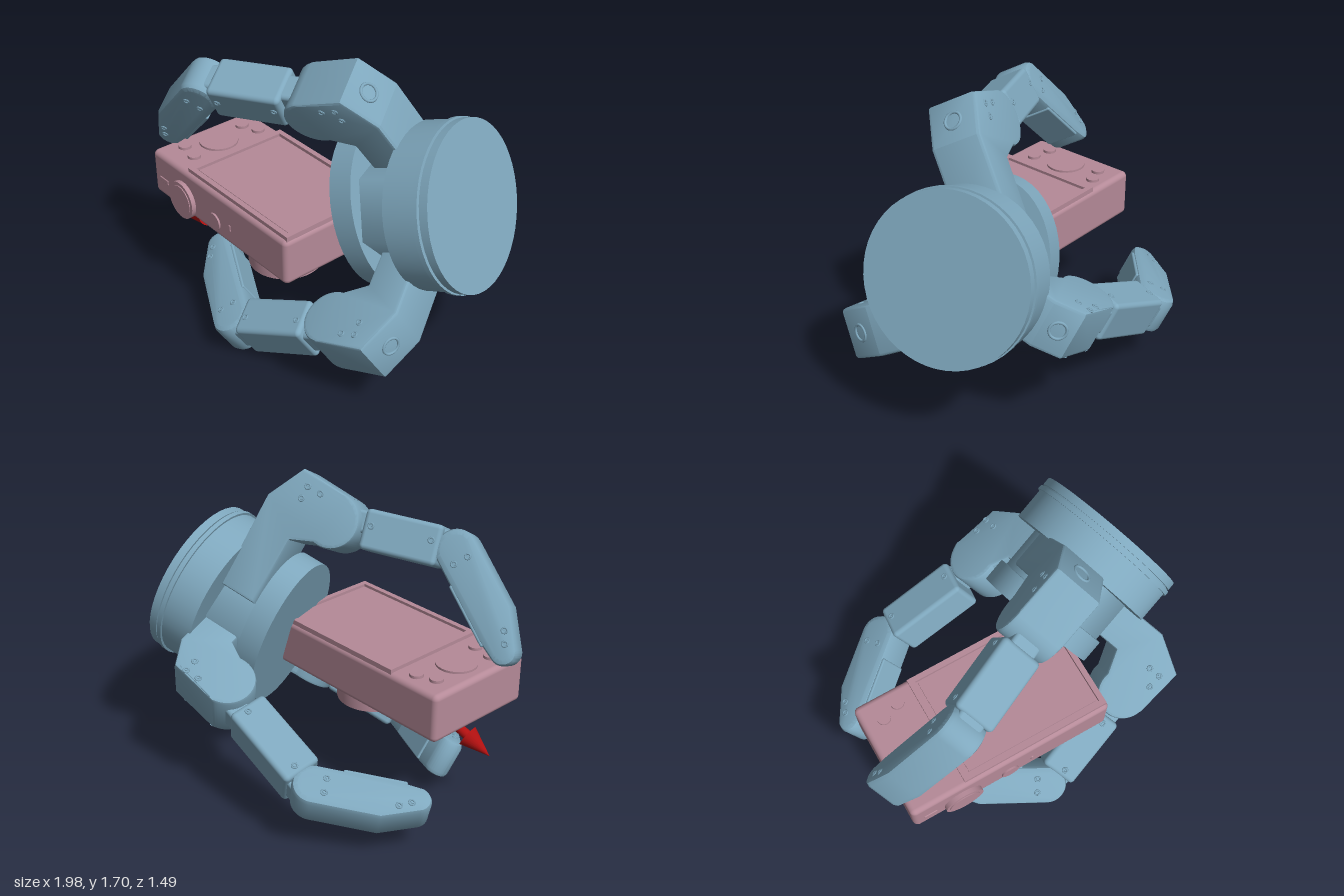
import * as THREE from 'three';
import { RoundedBoxGeometry } from 'three/addons/geometries/RoundedBoxGeometry.js';
import { toCreasedNormals } from 'three/addons/utils/BufferGeometryUtils.js';

const blue = new THREE.MeshStandardMaterial({ color: 0x7fa8be });
const pink = new THREE.MeshStandardMaterial({ color: 0xb58a98 });
const red = new THREE.MeshStandardMaterial({ color: 0xb01010 });

function add(parent, name, geo, mat, x = 0, y = 0, z = 0) {
  const m = new THREE.Mesh(geo, mat);
  m.name = name;
  m.position.set(x, y, z);
  parent.add(m);
  return m;
}

// Side profile extruded to a centred, bevelled slab of width w
function slab(shape, w, b = 0.018) {
  const g = new THREE.ExtrudeGeometry(shape, {
    depth: w - 2 * b, bevelEnabled: true, bevelThickness: b, bevelSize: b,
    bevelOffset: -b, bevelSegments: 2, curveSegments: 16,
  });
  g.translate(0, 0, -w / 2 + b);
  return toCreasedNormals(g, 0.6);
}

// Cylinder lying along x
const disc = (r, len, sides = 48) => new THREE.CylinderGeometry(r, r, len, sides).rotateZ(-Math.PI / 2);

function screws(parent, w, points) {
  for (const [x, y] of points) for (const s of [1, -1]) {
    const head = add(parent, 'screw', new THREE.TorusGeometry(0.014, 0.005, 6, 14), blue, x, y, s * w / 2);
    add(head, 'screwCore', new THREE.CylinderGeometry(0.006, 0.006, 0.006, 6).rotateX(Math.PI / 2), blue);
  }
}

// Finger in its own plane: x runs along the palm axis, y points outward
function makeFinger(name, hump, j1, j2, tip) {
  const f = new THREE.Group();
  f.name = name;
  const [a, r] = j1;

  // Angled base bracket ending in a round knuckle
  const low = [0.24, r - 0.05], high = [a - 0.27, r + hump];
  const s = new THREE.Shape();
  s.moveTo(0.25, 0.08);
  s.lineTo(...low);
  s.lineTo(...high);
  s.lineTo(a + 0.02, r + 0.149);
  s.absarc(a, r, 0.15, 1.44, -1.75, true);
  s.lineTo(0.47, r - 0.2);
  s.lineTo(0.47, 0.08);
  add(f, 'baseBracket', slab(s, 0.28), blue);
  screws(f, 0.28, [[a - 0.2, r + 0.09], [a - 0.12, r + 0.09], [a - 0.2, r + 0.02]]);
  const port = add(f, 'bracketPort', new THREE.TorusGeometry(0.045, 0.008, 8, 24), blue,
    (low[0] + high[0]) / 2, (low[1] + high[1]) / 2, 0);
  port.quaternion.setFromUnitVectors(new THREE.Vector3(0, 0, 1),
    new THREE.Vector3(low[1] - high[1], high[0] - low[0], 0).normalize());

  // Middle link with narrower hinge tongues
  const mid = new THREE.Group();
  mid.name = 'middleLink';
  mid.position.set(a, r, 0);
  mid.rotation.z = Math.atan2(j2[1] - r, j2[0] - a);
  f.add(mid);
  const L = Math.hypot(j2[0] - a, j2[1] - r);
  add(mid, 'middleBody', new RoundedBoxGeometry(L - 0.25, 0.215, 0.23, 3, 0.025), blue, L / 2 + 0.04, 0, 0);
  add(mid, 'hingeTongue', new RoundedBoxGeometry(L + 0.04, 0.12, 0.15, 2, 0.02), blue, L / 2, 0.035, 0);
  screws(mid, 0.23, [[0.21, 0.02], [L - 0.13, 0.02]]);

  // Fingertip: round knuckle tapering to a blunt end
  const end = new THREE.Group();
  end.name = 'fingertip';
  end.position.set(j2[0], j2[1], 0);
  end.rotation.z = Math.atan2(tip[1] - j2[1], tip[0] - j2[0]);
  f.add(end);
  const T = Math.hypot(tip[0] - j2[0], tip[1] - j2[1]);
  const p = new THREE.Shape();
  p.absarc(0, 0, 0.11, Math.PI * 0.5, Math.PI * 1.5, false);
  p.lineTo(T - 0.16, -0.11);
  p.absarc(T - 0.07, -0.03, 0.07, -Math.PI / 2, Math.PI * 0.42, false);
  p.lineTo(T * 0.6, 0.11);
  add(end, 'fingertipBody', slab(p, 0.215, 0.03), blue);
  add(end, 'gripPad', new RoundedBoxGeometry(T * 0.55, 0.02, 0.19, 2, 0.009), blue, T * 0.5, -0.108, 0);
  screws(end, 0.215, [[0.06, 0.04], [0.06, -0.04], [T - 0.1, 0.0], [T - 0.16, 0.03]]);
  return f;
}

function makeHand() {
  const hand = new THREE.Group();
  hand.name = 'gripperHand';
  const axis = new THREE.Vector3(-0.905, -0.32, 0.28).normalize();
  const up = new THREE.Vector3(-0.26, 0.935, 0.24);
  up.addScaledVector(axis, -up.dot(axis)).normalize();
  const side = new THREE.Vector3().crossVectors(axis, up);
  hand.quaternion.setFromRotationMatrix(new THREE.Matrix4().makeBasis(axis, up, side));
  hand.position.set(0.815, 0.98, -0.235);

  // Round wrist flange with grooves
  for (const [r, x0, x1] of [[0.443, 0, 0.045], [0.43, 0.04, 0.06], [0.45, 0.055, 0.08], [0.437, 0.075, 0.26]])
    add(hand, 'wristFlange', disc(r, x1 - x0), blue, (x0 + x1) / 2, 0, 0);
  // Core block and oval palm plate
  add(hand, 'palmCore', disc(0.32, 0.3, 6), blue, 0.38, 0, 0);
  const plate = add(hand, 'palmPlate', disc(0.45, 0.13).scale(1, 1, 0.76), blue, 0.565, 0, 0);
  plate.rotation.x = 0.16;

  // Two fingers swivel on offset pivots, the third is fixed
  const third = Math.PI * 2 / 3, offset = 0.175;
  const fingers = [
    ['upperFinger', -0.35, offset, 0.16, [0.62, 0.665], [1.26, 0.85], [1.8, 0.52]],
    ['frontFinger', 0.22 - third, -offset, 0.17, [0.63, 0.67], [1.31, 0.695], [1.72, 0.2]],
    ['backFinger', third, 0, 0.1, [0.59, 0.515], [1.29, 0.72], [1.83, 0.47]],
  ];
  for (const [name, angle, z, hump, j1, j2, tip] of fingers) {
    const f = makeFinger(name, hump, j1, j2, tip);
    f.rotation.x = angle;
    f.translateZ(z);
    hand.add(f);
  }
  return hand;
}

function makeCamera() {
  const c = new THREE.Group();
  c.name = 'compactCamera';
  add(c, 'cameraBody', new RoundedBoxGeometry(1.18, 0.27, 0.66, 4, 0.03), pink, -0.27, 0.725, 0.25);

  // Screen on the upward back: raised frame with a sunken panel
  const rect = (S, x0, x1, z0, z1) => {
    const s = new S();
    s.moveTo(x0, -z0); s.lineTo(x0, -z1); s.lineTo(x1, -z1); s.lineTo(x1, -z0); s.closePath();
    return s;
  };
  const frame = rect(THREE.Shape, -0.54, 0.31, -0.07, 0.56);
  frame.holes.push(rect(THREE.Path, -0.505, 0.28, -0.04, 0.53));
  const fg = new THREE.ExtrudeGeometry(frame, { depth: 0.035, bevelEnabled: false }).rotateX(-Math.PI / 2);
  add(c, 'screenFrame', fg, pink, 0, 0.845, 0);
  add(c, 'screen', new THREE.BoxGeometry(0.765, 0.02, 0.55), pink, -0.1125, 0.861, 0.245);

  // Rear buttons and control wheel
  const knob = (name, r, h, x, y, z) => add(c, name, new THREE.CylinderGeometry(r, r, h, 32), pink, x, y, z);
  knob('controlWheel', 0.11, 0.02, -0.69, 0.862, 0.25);
  for (const [x, z] of [[-0.74, 0.05], [-0.64, 0.01], [-0.76, 0.43], [-0.64, 0.45]])
    knob('rearButton', 0.037, 0.025, x, 0.863, z);

  // Dial, shutter button and slots on the side that faces forward
  const flat = (name, r, x, len) => add(c, name, new THREE.CylinderGeometry(r, r, len, 40).rotateX(Math.PI / 2), pink, x, 0.675, 0.58);
  flat('modeDial', 0.11, -0.57, 0.05);
  flat('modeDialCap', 0.09, -0.57, 0.06);
  flat('shutterButton', 0.05, -0.285, 0.02);
  add(c, 'powerSlot', new RoundedBoxGeometry(0.08, 0.03, 0.01, 2, 0.005), pink, -0.76, 0.7, 0.58);
  add(c, 'microphoneSlot', new RoundedBoxGeometry(0.016, 0.04, 0.01, 2, 0.005), pink, -0.15, 0.7, 0.58);

  // Stepped lens barrel pointing down, with a recessed window
  const lens = [[0.25, 0.6], [0.25, 0.565], [0.23, 0.56], [0.23, 0.53], [0.215, 0.525], [0.215, 0.5],
    [0.205, 0.495], [0.205, 0.41], [0.13, 0.41], [0.11, 0.44], [0, 0.44]];
  const lg = new THREE.LatheGeometry(lens.reverse().map(([r, y]) => new THREE.Vector2(r, y)), 48);
  add(c, 'lensBarrel', toCreasedNormals(lg, 0.5), pink, -0.075, 0, 0.27);
  add(c, 'lensWindow', new RoundedBoxGeometry(0.12, 0.02, 0.09, 2, 0.008), pink, -0.075, 0.434, 0.27);
  return c;
}

function makeArrow() {
  const g = new THREE.Group();
  g.name = 'directionArrow';
  const from = new THREE.Vector3(-0.22, 0.67, 0.25), to = new THREE.Vector3(-0.845, 0.315, 0.38);
  const len = from.distanceTo(to), head = 0.16;
  g.position.copy(from);
  g.quaternion.setFromUnitVectors(new THREE.Vector3(0, 1, 0), to.clone().sub(from).normalize());
  add(g, 'arrowShaft', new THREE.CylinderGeometry(0.027, 0.027, len - head, 24), red, 0, (len - head) / 2, 0);
  add(g, 'arrowHead', new THREE.ConeGeometry(0.062, head, 24), red, 0, len - head / 2, 0);
  return g;
}

export function createModel() {
  const model = new THREE.Group();
  model.name = 'gripperHoldingCamera';
  model.add(makeHand(), makeCamera(), makeArrow());
  return model;
}
